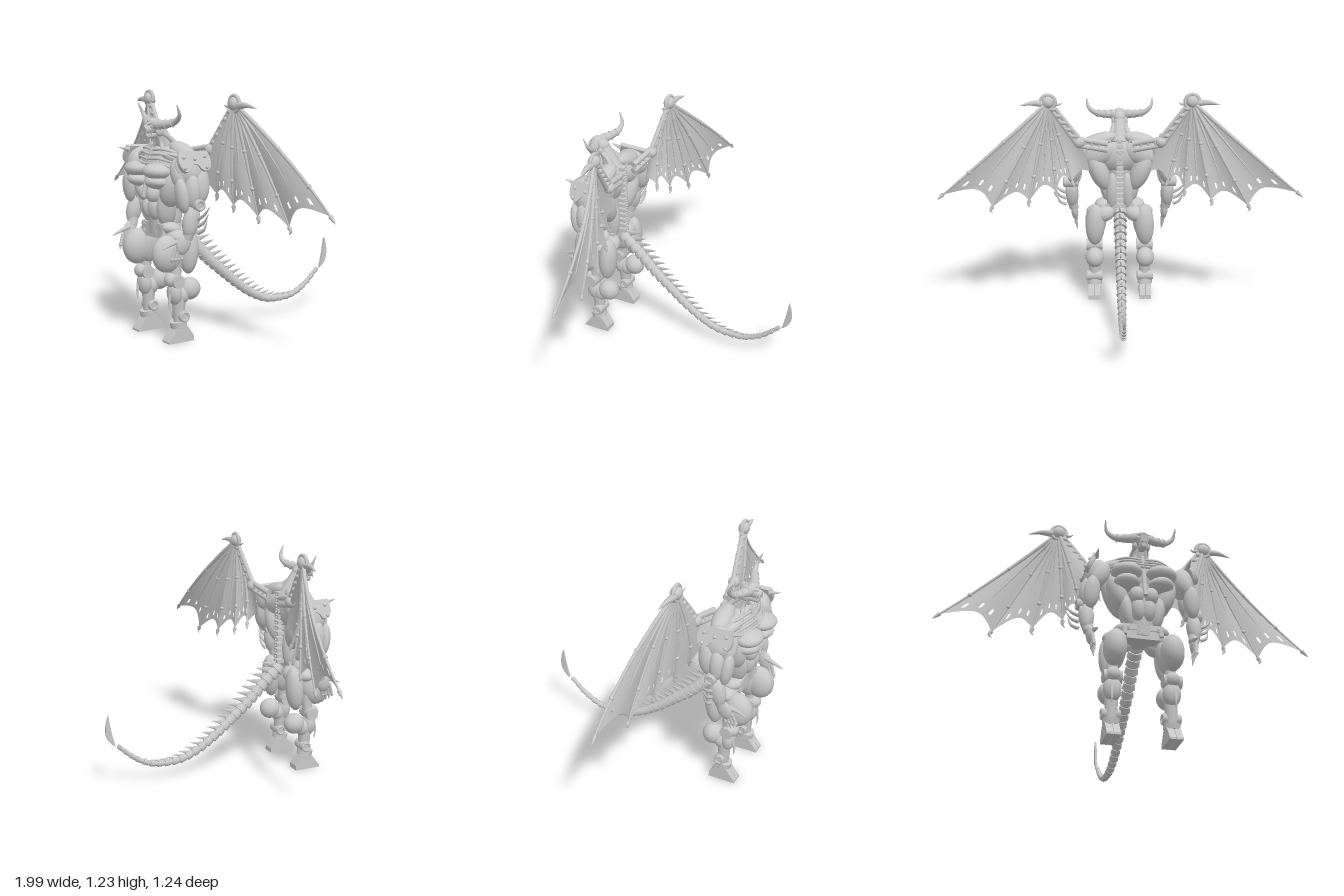
import * as THREE from 'three';

const grey = new THREE.MeshStandardMaterial({ color: 0xc8c8c8, side: THREE.DoubleSide });
grey.name = 'plain grey';
const V = (x, y, z) => new THREE.Vector3(x, y, z);
const mirror = (s) => (x, y, z) => V(s * x, y, z);
const lerp = THREE.MathUtils.lerp;
const path = (...p) => new THREE.CatmullRomCurve3(p);

function add(group, name, geometry) {
  const mesh = new THREE.Mesh(geometry, grey);
  mesh.name = name;
  group.add(mesh);
  return mesh;
}
// Place a y-aligned mesh between two points
function span(mesh, a, b) {
  mesh.position.copy(a).lerp(b, 0.5);
  mesh.quaternion.setFromUnitVectors(V(0, 1, 0), b.clone().sub(a).normalize());
  return mesh;
}
// Ellipsoids stretched between points: [name, lower or inner point, upper or outer point, radius x, radius z]
function muscles(g, s, rows) {
  const P = mirror(s);
  for (const [name, a, b, rx, rz] of rows) {
    const p = P(...a), q = P(...b);
    span(add(g, name, new THREE.SphereGeometry(1, 20, 14)), p, q).scale.set(rx, p.distanceTo(q) / 2, rz);
  }
}
function rod(g, name, a, b, r0, r1 = r0, flat = 1, sides = 12) {
  span(add(g, name, new THREE.CylinderGeometry(r1, r0, a.distanceTo(b), sides)), a, b).scale.x = flat;
}
function ball(g, name, p, rx, ry = rx, rz = rx) {
  const m = add(g, name, new THREE.SphereGeometry(1, 18, 12));
  m.position.copy(p);
  m.scale.set(rx, ry, rz);
}
function block(g, name, p, w, h, d) {
  add(g, name, new THREE.BoxGeometry(w, h, d)).position.copy(p);
}
function ring(g, name, p, r, tube, dir) {
  const m = add(g, name, new THREE.TorusGeometry(r, tube, 8, 20));
  m.position.copy(p);
  m.quaternion.setFromUnitVectors(V(0, 0, 1), dir);
}
// Tube along a curve, narrowing from r0 to r1
function taper(g, name, curve, r0, r1, n = 10, sides = 8) {
  const geo = new THREE.TubeGeometry(curve, n, r0, sides), pos = geo.attributes.position, v = V(0, 0, 0);
  for (let i = 0; i < pos.count; i++) {
    const t = Math.floor(i / (sides + 1)) / n, c = curve.getPointAt(t);
    v.fromBufferAttribute(pos, i).sub(c).multiplyScalar(lerp(1, r1 / r0, t ** 1.5)).add(c);
    pos.setXYZ(i, v.x, v.y, v.z);
  }
  add(g, name, geo);
}
// Side profile in (z, y), extruded across x about x0, leaning by tilt
function slab(g, name, shape, x0, w, y0 = 0, tilt = 0) {
  const geo = new THREE.ExtrudeGeometry(shape, { depth: w, bevelEnabled: false, curveSegments: 8 });
  const m = add(g, name, geo.translate(0, 0, -w / 2));
  m.rotation.set(0, -Math.PI / 2, tilt, 'ZYX');
  m.position.set(x0, y0, 0);
}
// Membrane between two finger curves, scalloped at the edge with a row of eyelets
function membrane(g, a, b, sag) {
  const n = 18, pos = [], idx = [];
  for (let i = 0; i <= n; i++) for (let j = 0; j <= n; j++) {
    const u = i / n, v = (j / n) * (1 - sag * Math.sin(Math.PI * u));
    const p = a.getPoint(v).lerp(b.getPoint(v), u);
    pos.push(p.x, p.y, p.z + 0.016 * v * Math.sin(Math.PI * u));
    if (i === n || j === n || (sag > 0.1 && j === n - 2 && i % 5 === 3)) continue;
    const k = i * (n + 1) + j;
    idx.push(k, k + 1, k + n + 1, k + 1, k + n + 2, k + n + 1);
  }
  const geo = new THREE.BufferGeometry().setIndex(idx);
  geo.setAttribute('position', new THREE.Float32BufferAttribute(pos, 3));
  geo.computeVertexNormals();
  add(g, 'wingMembrane', geo);
}

function wing(g, s) {
  const P = mirror(s), hub = P(0.39, 1.185, 0.295), elbow = P(0.225, 0.955, 0.32), root = P(0.07, 0.925, 0.345);
  const tips = [[0.96, 0.705, 0.18], [0.7, 0.625, 0.205], [0.5, 0.65, 0.235], [0.355, 0.69, 0.275], [0.265, 0.74, 0.31]];
  const fingers = tips.map((t, i) => {
    const tip = P(...t), mid = hub.clone().lerp(tip, 0.5);
    mid.z += lerp(-0.06, 0.05, i / 4);
    return new THREE.QuadraticBezierCurve3(hub, mid, tip);
  });
  fingers.forEach((f, i) => {
    taper(g, 'wingFinger', f, 0.011, 0.005, 20);
    for (const t of [0.42, 0.75]) ball(g, 'fingerKnuckle', f.getPoint(t), 0.012);
    const e = f.getPoint(1), c = e.clone().addScaledVector(f.getTangent(1), 0.022);
    taper(g, 'fingerClaw', path(e, c, c.clone().add(P(i ? -0.012 : 0.018, -0.016, 0))), 0.011, 0.001);
  });
  const inner = new THREE.QuadraticBezierCurve3(hub, P(0.2, 1.0, 0.33), P(0.17, 0.79, 0.33));
  [...fingers, inner].forEach((f, i, all) => i && membrane(g, all[i - 1], f, i < 5 ? 0.11 : 0.06));
  // Sinews fanning from the hub between the fingers
  for (let i = 1; i < 5; i++) {
    const p = (t) => fingers[i - 1].getPoint(t).lerp(fingers[i].getPoint(t), 0.5).add(V(0, 0, 0.01 * t));
    taper(g, 'wingSinew', path(p(0), p(0.4), p(0.8)), 0.008, 0.002);
  }
  // Jointed arm that carries the wing
  for (const o of [-0.018, 0.018]) {
    rod(g, 'wingUpperArm', root.clone().add(V(0, o, 0)), elbow.clone().add(V(0, o, 0)), 0.017, 0.013);
    rod(g, 'wingForearm', elbow.clone().add(V(o, 0, 0)), hub.clone().add(V(o * 0.7, 0, 0)), 0.013, 0.01);
  }
  for (let i = 0; i < 4; i++) ring(g, 'armLink', root.clone().lerp(elbow, 0.2 + i * 0.25), 0.024, 0.009, V(0, 0, 1));
  for (let i = 1; i < 6; i++) ball(g, 'armCollar', elbow.clone().lerp(hub, i / 6), 0.021, 0.014, 0.017);
  ball(g, 'wingElbow', elbow, 0.03);
  // Round joint and thumb claws
  ball(g, 'wingHub', hub, 0.034, 0.034, 0.03);
  ring(g, 'hubRing', hub, 0.039, 0.01, V(0, 0, 1));
  taper(g, 'hubClaw', path(P(0.42, 1.177, 0.295), P(0.48, 1.18, 0.29), P(0.545, 1.168, 0.28)), 0.018, 0.001, 12);
  taper(g, 'hubSpur', path(P(0.37, 1.18, 0.295), P(0.335, 1.17, 0.3), P(0.315, 1.178, 0.305)), 0.012, 0.001);
}

function torsoHalf(g, s) {
  const P = mirror(s);
  muscles(g, s, [
    ['pectoral', [0.01, 0.855, 0.545], [0.165, 0.85, 0.54], 0.04, 0.074], ['lowerPectoral', [0.02, 0.795, 0.54], [0.15, 0.8, 0.53], 0.035, 0.068],
    ['trapezius', [0.22, 0.915, 0.42], [0.02, 0.975, 0.41], 0.04, 0.05], ['collarMuscle', [0.2, 0.91, 0.46], [0.02, 0.935, 0.47], 0.032, 0.045],
    ['upperBack', [0.2, 0.83, 0.405], [0.02, 0.92, 0.405], 0.065, 0.048], ['latissimus', [0.075, 0.66, 0.42], [0.165, 0.89, 0.41], 0.055, 0.062],
    ['sideRib', [0.095, 0.67, 0.48], [0.15, 0.86, 0.48], 0.048, 0.065], ['oblique', [0.065, 0.57, 0.475], [0.095, 0.76, 0.495], 0.034, 0.055],
    ['lowerBack', [0.045, 0.54, 0.42], [0.04, 0.76, 0.41], 0.035, 0.04], ['upperAbdominal', [0.035, 0.69, 0.53], [0.038, 0.78, 0.535], 0.036, 0.04],
    ['lowerAbdominal', [0.022, 0.6, 0.51], [0.032, 0.72, 0.535], 0.033, 0.036], ['hipPlate', [0.03, 0.565, 0.48], [0.14, 0.56, 0.46], 0.033, 0.055],
    ['hipJoint', [0.06, 0.53, 0.46], [0.19, 0.52, 0.46], 0.038, 0.05], ['gluteal', [0.03, 0.54, 0.41], [0.14, 0.5, 0.4], 0.045, 0.045],
  ]);
  for (let i = 0; i < 4; i++) {
    const y = 0.95 - i * 0.022, z = 0.515 + i * 0.014;
    taper(g, 'ribBar', path(P(0, y, z), P(0.09, y + 0.006, z - 0.012), P(0.18, y - 0.015, z - 0.06)), 0.007, 0.006, 14);
  }
  rod(g, 'hipRod', P(0.09, 0.58, 0.51), P(0.09, 0.53, 0.51), 0.014);
  taper(g, 'neckCord', path(P(0.03, 1.03, 0.47), P(0.04, 1.0, 0.43), P(0.065, 0.94, 0.385)), 0.013, 0.018);
  taper(g, 'throatCord', path(P(0.02, 1.02, 0.49), P(0.028, 0.98, 0.48), P(0.06, 0.94, 0.49)), 0.01, 0.012);
}

function arm(g, s) {
  const P = mirror(s);
  muscles(g, s, [
    ['deltoid', [0.25, 0.79, 0.44], [0.2, 0.95, 0.44], 0.05, 0.088], ['frontDeltoid', [0.24, 0.78, 0.5], [0.18, 0.92, 0.49], 0.045, 0.042],
    ['biceps', [0.26, 0.66, 0.495], [0.245, 0.83, 0.515], 0.04, 0.032], ['outerArm', [0.27, 0.68, 0.455], [0.26, 0.85, 0.455], 0.04, 0.04],
    ['triceps', [0.265, 0.7, 0.41], [0.245, 0.88, 0.395], 0.042, 0.048], ['forearm', [0.272, 0.54, 0.485], [0.268, 0.7, 0.45], 0.036, 0.042],
    ['outerForearm', [0.28, 0.56, 0.47], [0.295, 0.685, 0.45], 0.02, 0.03], ['palm', [0.255, 0.46, 0.52], [0.262, 0.56, 0.485], 0.02, 0.038],
  ]);
  rod(g, 'elbowDisc', P(0.235, 0.7, 0.44), P(0.312, 0.7, 0.44), 0.03);
  ring(g, 'elbowRing', P(0.312, 0.7, 0.44), 0.022, 0.008, V(1, 0, 0));
  rod(g, 'wrist', P(0.27, 0.58, 0.475), P(0.262, 0.535, 0.485), 0.03, 0.026);
  for (let i = 0; i < 3; i++) {
    const y = 0.65 - i * 0.035;
    taper(g, 'forearmBlade', path(P(0.305, y - 0.015, 0.45), P(0.34, y + 0.005, 0.44), P(0.38 - i * 0.012, y + 0.05, 0.43)), 0.01, 0.001);
  }
  // Hanging fingers and thumb
  for (let i = 0; i < 4; i++) {
    const z = 0.49 + i * 0.018, m = P(0.25, 0.44, z + 0.018);
    rod(g, 'fingerBone', P(0.255, 0.495, z), m, 0.01, 0.008);
    ball(g, 'fingerJoint', m, 0.01);
    rod(g, 'fingerTip', m, P(0.243, 0.395 + 0.008 * i, z + 0.026), 0.008, 0.002);
  }
  taper(g, 'thumb', path(P(0.25, 0.53, 0.51), P(0.245, 0.515, 0.56), P(0.245, 0.495, 0.612)), 0.013, 0.003);
  // Leaning shoulder guard with lobes, studs and a horn
  const pad = new THREE.Shape();
  pad.moveTo(0.36, 0.055);
  pad.lineTo(0.52, 0.06);
  pad.quadraticCurveTo(0.545, -0.01, 0.51, -0.04);
  pad.quadraticCurveTo(0.48, -0.055, 0.465, -0.02);
  pad.quadraticCurveTo(0.44, 0.005, 0.42, -0.02);
  pad.quadraticCurveTo(0.4, -0.055, 0.37, -0.04);
  pad.quadraticCurveTo(0.335, -0.01, 0.36, 0.055);
  slab(g, 'shoulderGuard', pad, s * 0.262, 0.022, 0.9, s * 0.4);
  for (const [y, z] of [[0.93, 0.38], [0.93, 0.5], [0.88, 0.38], [0.88, 0.505], [0.92, 0.44]])
    ball(g, 'guardStud', P(0.274 - (y - 0.9) * 0.42, y, z), 0.01);
  rod(g, 'guardHorn', P(0.235, 0.935, 0.515), P(0.235, 0.95, 0.575), 0.013, 0.001);
}

function leg(g, s) {
  const P = mirror(s);
  muscles(g, s, [
    ['frontThigh', [0.145, 0.355, 0.53], [0.137, 0.54, 0.52], 0.057, 0.08], ['innerThigh', [0.125, 0.36, 0.47], [0.1, 0.54, 0.46], 0.036, 0.055],
    ['rearThigh', [0.145, 0.335, 0.405], [0.135, 0.575, 0.39], 0.055, 0.048], ['shin', [0.145, 0.185, 0.48], [0.145, 0.31, 0.49], 0.045, 0.036],
    ['lowerCalf', [0.145, 0.185, 0.45], [0.145, 0.28, 0.44], 0.04, 0.04],
  ]);
  rod(g, 'thighShaft', P(0.14, 0.42, 0.47), P(0.145, 0.3, 0.48), 0.028);
  rod(g, 'kneeAxle', P(0.1, 0.31, 0.485), P(0.192, 0.31, 0.485), 0.034);
  ball(g, 'kneeCap', P(0.145, 0.315, 0.505), 0.036, 0.036, 0.034);
  ball(g, 'calf', P(0.145, 0.26, 0.397), 0.053, 0.057, 0.057);
  taper(g, 'shinSpur', path(P(0.155, 0.25, 0.515), P(0.155, 0.2, 0.522), P(0.155, 0.165, 0.518)), 0.009, 0.002);
  rod(g, 'ankleShaft', P(0.145, 0.22, 0.462), P(0.147, 0.08, 0.46), 0.035, 0.027);
  rod(g, 'ankleDisc', P(0.107, 0.13, 0.452), P(0.188, 0.13, 0.452), 0.029);
  for (const x of [0.107, 0.188]) ring(g, 'ankleRing', P(x, 0.13, 0.452), 0.021, 0.007, V(1, 0, 0));
  rod(g, 'ankleCollar', P(0.147, 0.075, 0.462), P(0.147, 0.105, 0.468), 0.042);
  const foot = new THREE.Shape([[0.395, 0], [0.54, 0], [0.54, 0.01], [0.488, 0.078], [0.432, 0.078], [0.395, 0.025]].map((p) => new THREE.Vector2(...p)));
  for (const x of [0.131, 0.166]) slab(g, 'hoof', foot, s * x, 0.033);
}

function head(g) {
  ball(g, 'cranium', V(0, 1.062, 0.495), 0.036, 0.036, 0.046);
  rod(g, 'snout', V(0, 1.06, 0.51), V(0, 1.05, 0.562), 0.032, 0.02);
  rod(g, 'lowerJaw', V(0, 1.03, 0.485), V(0, 1.018, 0.553), 0.024, 0.013);
  ball(g, 'hornBoss', V(0, 1.09, 0.515), 0.03, 0.018, 0.025);
  rod(g, 'neck', V(0, 0.93, 0.42), V(0, 1.05, 0.475), 0.052, 0.032);
  for (const s of [-1, 1]) {
    const P = mirror(s);
    const horn = path(P(0.015, 1.075, 0.515), P(0.08, 1.079, 0.49), P(0.135, 1.093, 0.467), P(0.173, 1.125, 0.465), P(0.183, 1.175, 0.486));
    taper(g, 'horn', horn, 0.025, 0.002, 28, 14);
    for (const t of [0.15, 0.32, 0.48]) ring(g, 'hornRing', horn.getPointAt(t), 0.025 - 0.014 * t, 0.004, horn.getTangentAt(t));
    ball(g, 'eye', P(0.025, 1.066, 0.531), 0.009);
    rod(g, 'brow', P(0.006, 1.078, 0.545), P(0.04, 1.09, 0.52), 0.01, 0.006);
    ball(g, 'cheek', P(0.032, 1.04, 0.49), 0.014, 0.024, 0.022);
    for (let i = 0; i < 3; i++) rod(g, 'fang', P(0.018, 1.044, 0.558 - i * 0.015), P(0.017, 1.024, 0.56 - i * 0.015), 0.005, 0.001);
  }
}

function tail(g) {
  const curve = path(V(0, 0.55, 0.385), V(0, 0.465, 0.285), V(0, 0.365, 0.185), V(0, 0.28, 0.085), V(0, 0.2, -0.013),
    V(0, 0.135, -0.113), V(0, 0.1, -0.2), V(0, 0.091, -0.29), V(0, 0.102, -0.38), V(0, 0.145, -0.465), V(0, 0.225, -0.558));
  taper(g, 'tailCore', curve, 0.026, 0.008, 60);
  for (let i = 0; i < 27; i++) {
    const t = (i + 0.5) / 27, p = curve.getPointAt(t), d = curve.getTangentAt(t), r = lerp(0.04, 0.012, t);
    const h = d.clone().multiplyScalar(0.0155);
    rod(g, 'tailVertebra', p.clone().sub(h), p.clone().add(h), r * 0.86, r);
    if (i > 23) continue;
    const base = p.clone().addScaledVector(V(0, -d.z, d.y), r * 0.75), L = lerp(0.085, 0.035, t);
    rod(g, 'tailSpine', base, base.clone().add(V(0, L * 0.25, -L)), r * 0.45, 0.001, 0.4);
  }
  const blade = new THREE.Shape();
  blade.moveTo(-0.57, 0.225);
  blade.quadraticCurveTo(-0.652, 0.27, -0.605, 0.395);
  blade.quadraticCurveTo(-0.592, 0.3, -0.57, 0.225);
  slab(g, 'tailBlade', blade, 0, 0.012);
}

function trunk(g) {
  ball(g, 'chestCore', V(0, 0.86, 0.455), 0.15, 0.11, 0.09);
  rod(g, 'waistCore', V(0, 0.53, 0.465), V(0, 0.8, 0.47), 0.06, 0.08);
  rod(g, 'sternumRod', V(0, 0.72, 0.57), V(0, 0.965, 0.515), 0.011);
  block(g, 'pelvis', V(0, 0.545, 0.455), 0.16, 0.07, 0.12);
  block(g, 'beltPlate', V(0, 0.57, 0.505), 0.2, 0.03, 0.03);
  for (let i = 0; i < 13; i++) {
    const y = 0.95 - i * 0.031;
    block(g, 'spineBlock', V(0, y, 0.375), 0.04, 0.019, 0.04);
    rod(g, 'spineKnob', V(0, y, 0.375), V(0, y - 0.006, 0.348), 0.011, 0.005);
  }
}

export function createModel() {
  const model = new THREE.Group();
  const part = (name, build, s) => {
    const g = new THREE.Group();
    g.name = name;
    build(g, s);
    model.add(g);
  };
  Object.entries({ head, tail, trunk }).forEach(([name, build]) => part(name, build));
  for (const [side, s] of [['left', 1], ['right', -1]])
    Object.entries({ Trunk: torsoHalf, Arm: arm, Leg: leg, Wing: wing }).forEach(([name, build]) => part(side + name, build, s));
  return model;
}
